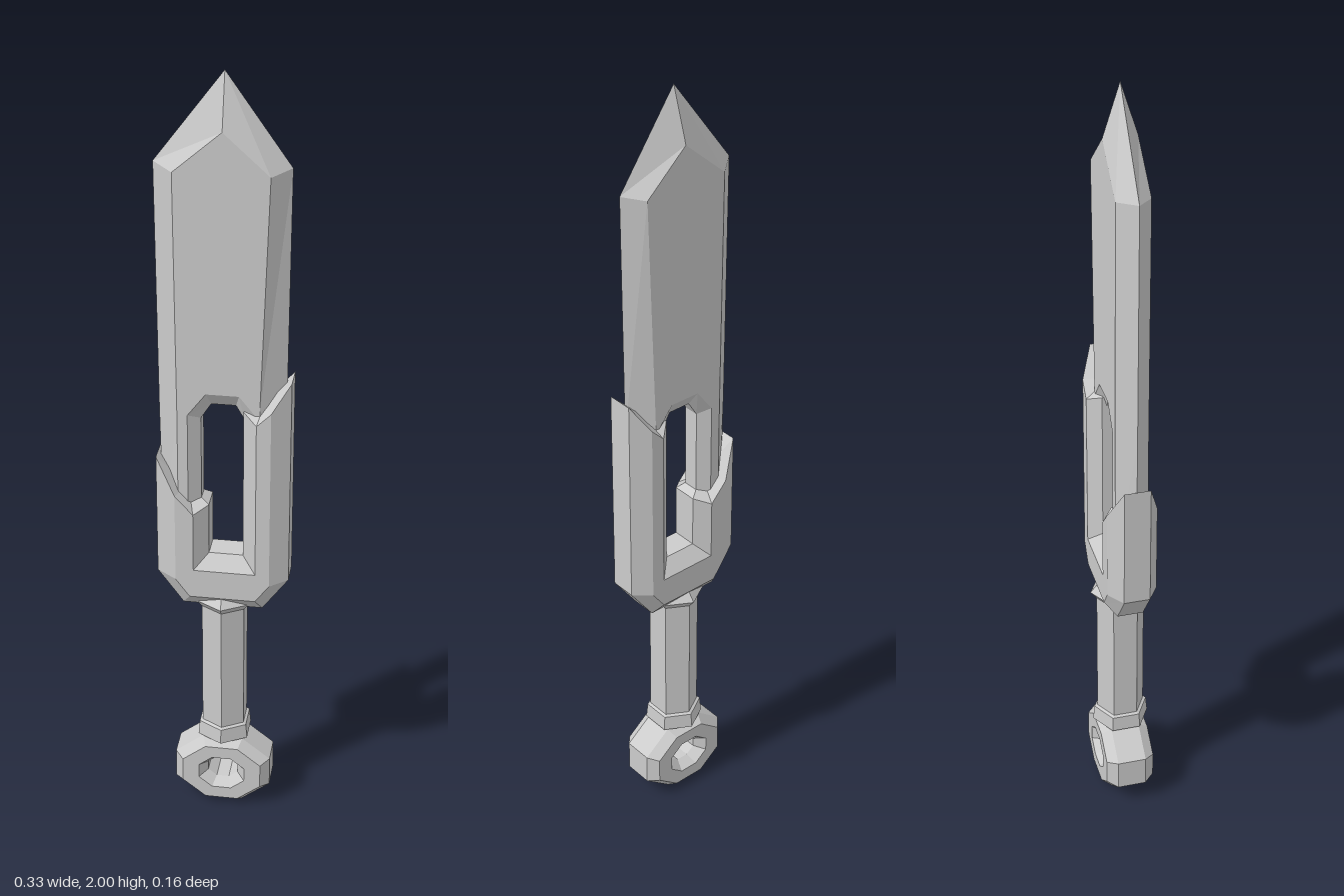
import * as THREE from 'three';

const material = new THREE.MeshStandardMaterial({ color: 0xcccccc, flatShading: true, side: THREE.DoubleSide });

// Lofts a bevelled bar along stations. Each station holds four [x, y] points:
// outer edge, front outer, front inner, inner edge; depths gives their half thickness.
function bevelledBar(name, stations, depths, capStart, capEnd) {
  const rings = stations.map((s) => {
    const front = s.map(([x, y], k) => new THREE.Vector3(x, y, depths[k]));
    const back = front.map((p) => new THREE.Vector3(p.x, p.y, -p.z)).reverse();
    return [...front, ...back];
  });
  const positions = [];
  const tri = (a, b, c) => {
    const area = b.clone().sub(a).cross(c.clone().sub(a)).length();
    if (area > 1e-7) for (const p of [a, b, c]) positions.push(p.x, p.y, p.z);
  };
  const last = rings.length - 1;
  const start = new THREE.Vector3(...capStart, 0);
  const end = new THREE.Vector3(...capEnd, 0);
  for (let k = 0; k < 8; k++) {
    const n = (k + 1) % 8;
    for (let s = 0; s < last; s++) {
      tri(rings[s][k], rings[s + 1][k], rings[s][n]);
      tri(rings[s + 1][k], rings[s + 1][n], rings[s][n]);
    }
    tri(start, rings[0][k], rings[0][n]);
    tri(end, rings[last][n], rings[last][k]);
  }
  const geometry = new THREE.BufferGeometry();
  geometry.setAttribute('position', new THREE.Float32BufferAttribute(positions, 3));
  geometry.computeVertexNormals();
  return mesh(name, geometry);
}

function mesh(name, geometry) {
  const m = new THREE.Mesh(geometry, material);
  m.name = name;
  return m;
}

// Turned part with few sides, from [radius, height] pairs.
function turned(name, profile, sides, phase = 0) {
  const points = profile.map(([r, y]) => new THREE.Vector2(r, y));
  return mesh(name, new THREE.LatheGeometry(points, sides, phase));
}

export function createModel() {
  const group = new THREE.Group();
  group.name = 'dagger';

  // Pointed blade, forked around the slot, from right foot over the tip to left foot
  group.add(bevelledBar('blade', [
    [[0.14, 0.95], [0.1, 0.95], [0.09, 0.95], [0.06, 0.95]],
    [[0.15, 1.16], [0.09, 1.18], [0.08, 1.165], [0.05, 1.145]],
    [[0.155, 1.78], [0.11, 1.77], [0.04, 1.215], [0.03, 1.18]],
    [[0, 2], [0, 1.87], [0, 1.215], [0, 1.18]],
    [[-0.165, 1.78], [-0.115, 1.77], [-0.04, 1.215], [-0.03, 1.18]],
    [[-0.16, 1.155], [-0.11, 1.155], [-0.085, 1.155], [-0.055, 1.14]],
    [[-0.155, 0.82], [-0.11, 0.82], [-0.085, 0.82], [-0.055, 0.82]],
  ], [0, 0.041, 0.041, 0.02], [0.1, 0.95], [-0.1, 0.82]));

  // U-shaped guard with one short and one long prong
  group.add(bevelledBar('guard', [
    [[-0.165, 1.03], [-0.115, 0.94], [-0.07, 0.89], [-0.035, 0.905]],
    [[-0.165, 0.705], [-0.115, 0.7], [-0.07, 0.73], [-0.035, 0.767]],
    [[-0.1, 0.615], [-0.08, 0.652], [-0.07, 0.73], [-0.035, 0.767]],
    [[0.1, 0.615], [0.085, 0.652], [0.085, 0.73], [0.05, 0.767]],
    [[0.165, 0.705], [0.12, 0.7], [0.085, 0.73], [0.05, 0.767]],
    [[0.165, 1.255], [0.12, 1.185], [0.085, 1.15], [0.05, 1.17]],
  ], [0.033, 0.063, 0.063, 0.032], [-0.09, 0.94], [0.1, 1.195]));

  // Six-sided grip with a collar at each end
  group.add(turned('grip', [[0, 0.22], [0.062, 0.22], [0.062, 0.64], [0, 0.64]], 6));
  group.add(turned('upperCollar', [[0, 0.605], [0.062, 0.605], [0.078, 0.625], [0.05, 0.66], [0, 0.66]], 6));
  group.add(turned('lowerCollar',
    [[0, 0.17], [0.035, 0.17], [0.06, 0.2], [0.074, 0.205], [0.07, 0.245], [0.06, 0.25], [0, 0.25]], 6));

  // Eight-sided bevelled pommel ring
  const ring = turned('pommelRing', [
    [0.135, -0.037], [0.135, 0.037], [0.111, 0.063], [0.065, 0.063],
    [0.042, 0.035], [0.042, -0.035], [0.065, -0.063], [0.111, -0.063], [0.135, -0.037],
  ], 8, Math.PI / 8);
  ring.rotation.x = Math.PI / 2;
  ring.scale.z = 0.8;
  ring.position.y = 0.1;
  group.add(ring);

  return group;
}
